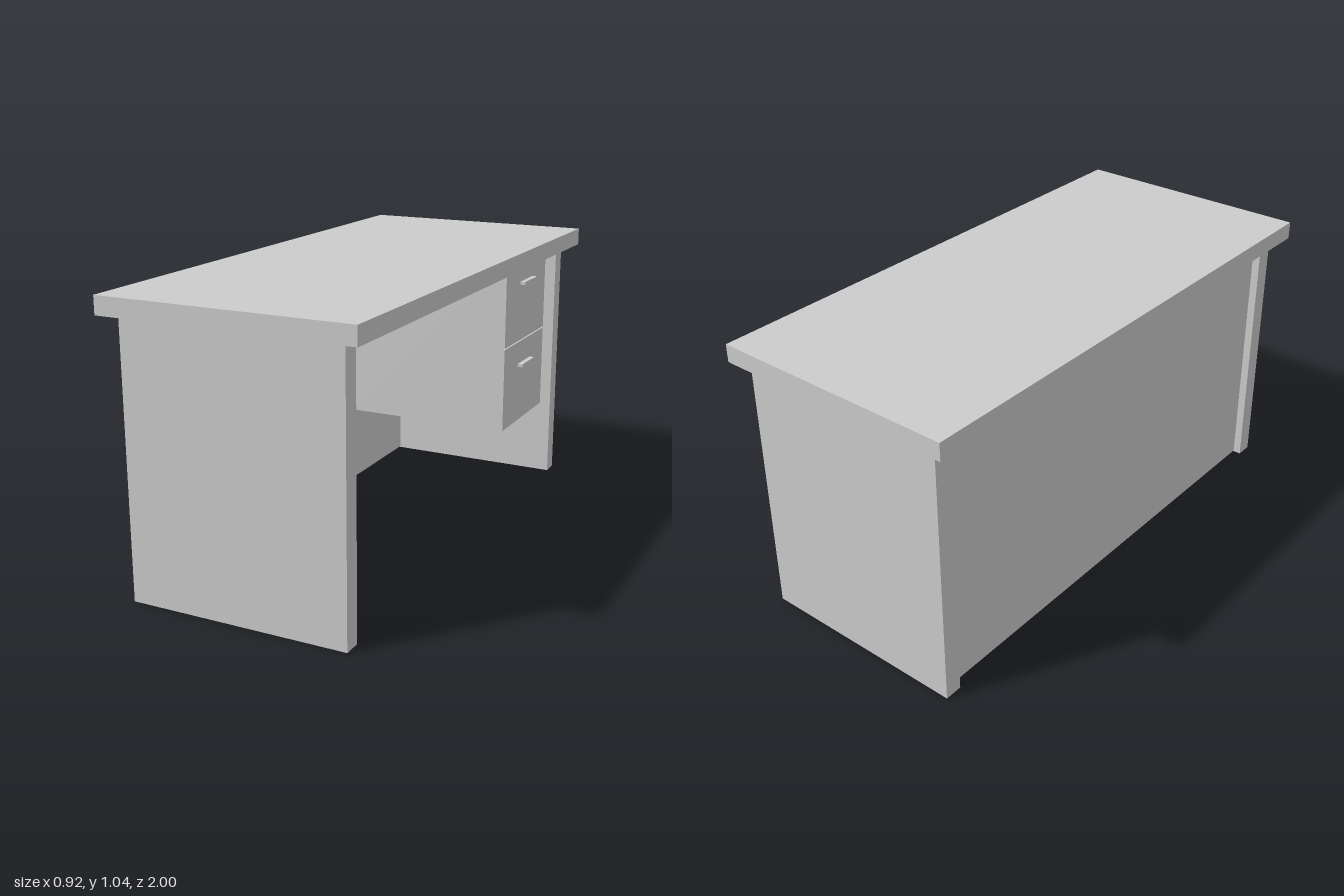
import * as THREE from 'three';

const material = new THREE.MeshStandardMaterial({ color: 0xcccccc, flatShading: true });

// Box given by its extents along each axis
function slab(name, [x0, x1], [y0, y1], [z0, z1]) {
  const mesh = new THREE.Mesh(new THREE.BoxGeometry(x1 - x0, y1 - y0, z1 - z0), material);
  mesh.name = name;
  mesh.position.set((x0 + x1) / 2, (y0 + y1) / 2, (z0 + z1) / 2);
  return mesh;
}

export function createModel() {
  const desk = new THREE.Group();
  desk.name = 'desk';
  const underside = 0.975;

  // Worktop and the two end panels
  desk.add(slab('worktop', [-0.46, 0.46], [underside, 1.04], [-1, 1]));
  desk.add(slab('frontEndPanel', [-0.4, 0.4], [0, underside], [0.895, 0.96]));
  desk.add(slab('backEndPanel', [-0.4, 0.4], [0, underside], [-0.96, -0.895]));

  // Modesty panel, set in a little from the end panel edges
  desk.add(slab('modestyPanel', [-0.37, -0.305], [0.003, underside], [-0.895, 0.895]));

  // Hanging drawer unit
  const unit = new THREE.Group();
  unit.name = 'drawerUnit';
  const zRange = [-0.893, -0.445];
  unit.add(slab('drawerCase', [-0.305, 0.345], [0.3, underside], zRange));

  // Drawer fronts with a narrow gap above each, and a bar handle
  const height = 0.336, gap = 0.005;
  for (let i = 0; i < 2; i++) {
    const y = 0.3 + i * height;
    const drawer = new THREE.Group();
    drawer.name = i ? 'upperDrawer' : 'lowerDrawer';
    drawer.add(slab('drawerFront', [0.345, 0.356], [y, y + height - gap], zRange));
    drawer.add(slab('handle', [0.356, 0.376], [y + 0.228, y + 0.24], [-0.737, -0.6]));
    unit.add(drawer);
  }
  desk.add(unit);
  return desk;
}
